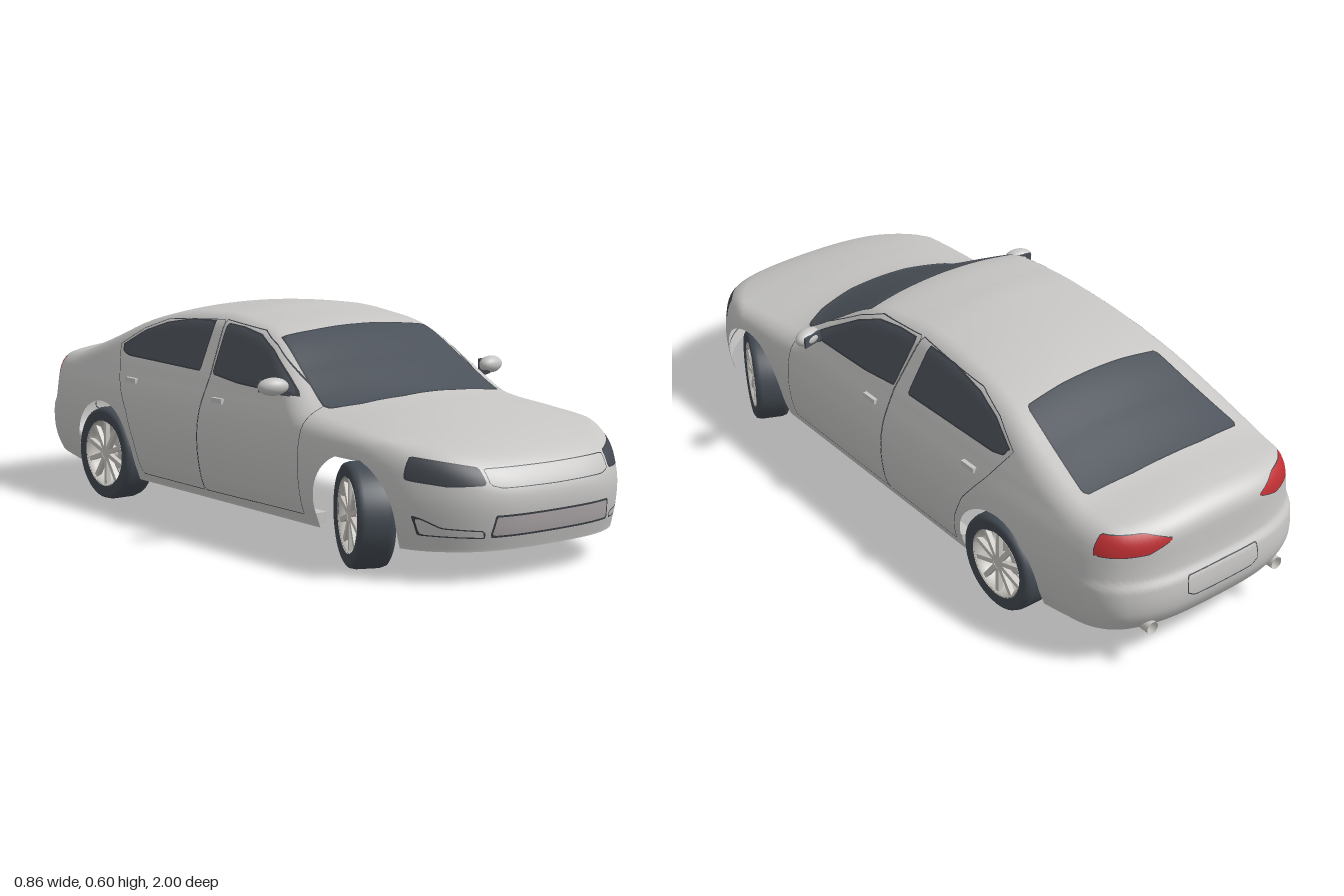
import * as THREE from 'three';

const material = (name, color) => new THREE.MeshStandardMaterial({ name, color, side: THREE.DoubleSide });
const paint = material('body paint', 0xc6c5c4);
const glass = material('tinted glass', 0x4b5159);
const lamp = material('dark lamp', 0x43484f);
const red = material('tail lamp red', 0xc03034);
const trim = material('dark trim', 0x3c4046);
const mesh = material('intake grey', 0xb0a9ac);
const rubber = material('tyre rubber', 0x434a52);
const alloy = material('wheel alloy', 0xc9c6c0);

// Smooth curve through [t, value] points, constant beyond the ends
const curve = (p) => {
  const slope = (i) => {
    const a = p[Math.max(i - 1, 0)], b = p[Math.min(i + 1, p.length - 1)];
    return (b[1] - a[1]) / (b[0] - a[0]);
  };
  const m = p.map((_, i) => slope(i));
  return (t) => {
    if (t <= p[0][0]) return p[0][1];
    if (t >= p[p.length - 1][0]) return p[p.length - 1][1];
    let i = 0;
    while (t > p[i + 1][0]) i++;
    const h = p[i + 1][0] - p[i][0], s = (t - p[i][0]) / h, s2 = s * s, s3 = s2 * s;
    return p[i][1] * (2 * s3 - 3 * s2 + 1) + p[i + 1][1] * (3 * s2 - 2 * s3)
      + h * (m[i] * (s3 - 2 * s2 + s) + m[i + 1] * (s3 - s2));
  };
};

// Signed distance to a 2D outline, negative inside
const outline = (pts) => (a, b) => {
  let d = Infinity, inside = false;
  pts.forEach(([ax, ay], i) => {
    const [bx, by] = pts[(i + 1) % pts.length];
    const ex = bx - ax, ey = by - ay;
    const t = Math.min(1, Math.max(0, ((a - ax) * ex + (b - ay) * ey) / (ex * ex + ey * ey)));
    d = Math.min(d, Math.hypot(a - ax - t * ex, b - ay - t * ey));
    if (ay > b !== by > b && a < ax + ((b - ay) * ex) / ey) inside = !inside;
  });
  return inside ? -d : d;
};

// Body form: side, top, nose and tail limits blended with rounded edges
const FLOOR = 0.08;
const halfWidth = curve([[0.08, 0.352], [0.15, 0.376], [0.25, 0.387], [0.33, 0.376], [0.4, 0.347], [0.43, 0.333], [0.57, 0.264], [0.62, 0.238]]);
const topLine = curve([[-1, 0.4], [-0.94, 0.415], [-0.877, 0.429], [-0.77, 0.447], [-0.61, 0.5], [-0.45, 0.558], [-0.29, 0.59],
  [-0.1, 0.602], [0, 0.597], [0.18, 0.568], [0.35, 0.488], [0.49, 0.418], [0.53, 0.406], [0.68, 0.382], [0.84, 0.345], [0.946, 0.3], [1.02, 0.25]]);
const noseLine = curve([[0.08, 0.98], [0.14, 0.995], [0.2, 1], [0.25, 0.99], [0.3, 0.97], [0.36, 0.92]]);
const tailLine = curve([[0.08, 0.94], [0.12, 0.975], [0.17, 0.998], [0.24, 0.995], [0.27, 0.978], [0.38, 0.966], [0.44, 0.95]]);
const screenBow = curve([[0.15, 0], [0.45, 0.7], [0.75, 0]]);
const crown = curve([[0.4, 0.35], [0.9, 0.2]]);
const roundMax = (a, b, k) => Math.max(a, b) + (Math.max(k - Math.abs(a - b), 0) ** 2) / (4 * k);

function form(x, y, z) {
  const x2 = x * x, x4 = x2 * x2;
  const side = Math.abs(x) - halfWidth(y) + 0.2 * Math.max(0, -z - 0.45) ** 2;
  const top = y - topLine(z + screenBow(z) * x2) + crown(z) * x2;
  const nose = z - noseLine(y) + 0.25 * x2 + 9 * x4;
  const tail = -z - tailLine(y) + 0.15 * x2 + 6 * x4;
  return roundMax(roundMax(side, top, 0.035), Math.max(nose, tail), 0.05);
}

// Skin point along a ray from the floor axis: x, y, z and normal
function skinPoint(z0, tilt, v) {
  const dir = [Math.cos(tilt) * Math.cos(v), Math.cos(tilt) * Math.sin(v), Math.sin(tilt)];
  const at = (t) => [dir[0] * t, FLOOR + dir[1] * t, z0 + dir[2] * t];
  let lo = 0, hi = 1;
  for (let i = 0; i < 26; i++) {
    const mid = (lo + hi) / 2;
    if (form(...at(mid)) < 0) lo = mid; else hi = mid;
  }
  const [x, y, z] = at(lo), e = 0.002;
  const n = new THREE.Vector3(form(x + e, y, z) - form(x - e, y, z), form(x, y + e, z) - form(x, y - e, z),
    form(x, y, z + e) - form(x, y, z - e)).normalize();
  return [x, y, z, n.x, n.y, n.z];
}

function buildSkin() {
  const rows = [], NV = 100, CAP = 70, MID = 110, S = 0.6;
  for (let i = -CAP; i <= MID + CAP; i++) {
    const z0 = -S + 2 * S * Math.min(1, Math.max(0, i / MID));
    const tilt = (Math.PI / 2) * (i < 0 ? i / CAP : i > MID ? (i - MID) / CAP : 0);
    rows.push(Array.from({ length: NV + 1 }, (_, j) => skinPoint(z0, tilt, (Math.PI * j) / NV)));
  }
  const tris = [];
  const add = (a, b, c) => {
    const u = [0, 1, 2].map((k) => b[k] - a[k]), w = [0, 1, 2].map((k) => c[k] - a[k]);
    const n = [u[1] * w[2] - u[2] * w[1], u[2] * w[0] - u[0] * w[2], u[0] * w[1] - u[1] * w[0]];
    if (Math.hypot(...n) < 1e-10) return;
    const facing = [0, 1, 2].reduce((s, k) => s + n[k] * (a[k + 3] + b[k + 3] + c[k + 3]), 0);
    tris.push(facing > 0 ? [a, b, c] : [a, c, b]);
  };
  for (let i = 0; i < rows.length - 1; i++) for (let j = 0; j < NV; j++) {
    add(rows[i][j], rows[i][j + 1], rows[i + 1][j + 1]);
    add(rows[i][j], rows[i + 1][j + 1], rows[i + 1][j]);
  }
  return tris;
}

// Cut triangles along f = 0 into inside and outside pieces
function split(tris, f) {
  const result = [[], []];
  for (const tri of tris) {
    const d = tri.map((p) => f(Math.abs(p[0]), p[1], p[2]));
    [1, -1].forEach((s, k) => {
      if (d.every((v) => s * v >= 0) && (k === 0 || d.some((v) => v !== 0))) return;
      const poly = [];
      tri.forEach((p, i) => {
        const j = (i + 1) % 3;
        if (s * d[i] <= 0) poly.push(p);
        if (d[i] * d[j] < 0) poly.push(p.map((v, c) => v + (tri[j][c] - v) * (d[i] / (d[i] - d[j]))));
      });
      for (let i = 1; i < poly.length - 1; i++) result[k].push([poly[0], poly[i], poly[i + 1]]);
    });
  }
  return result;
}

function part(parent, name, geometry, mat, x = 0, y = 0, z = 0) {
  const m = new THREE.Mesh(geometry, mat);
  m.name = name;
  m.position.set(x, y, z);
  parent.add(m);
  return m;
}

function panel(parent, name, tris, mat) {
  const g = new THREE.BufferGeometry(), verts = tris.flat();
  g.setAttribute('position', new THREE.Float32BufferAttribute(verts.flatMap((p) => p.slice(0, 3)), 3));
  g.setAttribute('normal', new THREE.Float32BufferAttribute(verts.flatMap((p) => p.slice(3)), 3));
  part(parent, name, g, mat);
}

function buildBody(car) {
  let skin = buildSkin();
  // inset: a filled area with an edge strip; no fill keeps body paint, no edge paints it all
  const inset = (name, f, fill, edge = 0) => {
    const [inside, rest] = split(skin, f);
    const [core, rim] = edge ? split(inside, (...p) => f(...p) + edge) : [inside, []];
    if (edge) panel(car, name + 'Edge', rim, trim);
    if (fill) panel(car, name, core, fill);
    skin = fill ? rest : rest.concat(core);
  };
  const fromSide = (pts) => { const o = outline(pts); return (x, y, z) => Math.max(o(z, y), 0.2 - x); };
  const fromTop = (pts) => { const o = outline(pts); return (x, y, z) => Math.max(o(x, z), 0.38 - y); };
  const fromFront = (pts, limit = 0.6) => { const o = outline(pts); return (x, y, z) => Math.max(o(x, y), limit - z); };
  const fromBack = (pts) => { const o = outline(pts); return (x, y, z) => Math.max(o(x, y), z + 0.6); };

  // Wheel arches and the rising rear bumper edge are cut away
  for (const cz of [0.64, -0.535])
    skin = split(skin, (x, y, z) => Math.max((y < 0.138 ? Math.abs(z - cz) : Math.hypot(z - cz, y - 0.138)) - 0.157, 0.2 - x))[1];
  skin = split(skin, (x, y, z) => Math.max(z + 0.69, y - 0.085 + 0.12 * (z + 0.69)))[1];

  // Glass
  inset('windscreen', fromTop([[-0.1, 0.515], [0.1, 0.513], [0.22, 0.488], [0.295, 0.45], [0.302, 0.43], [0.255, 0.18], [0.15, 0.19], [-0.1, 0.195]]), glass, 0.005);
  inset('rearWindow', fromTop([[-0.1, -0.77], [0.12, -0.768], [0.255, -0.755], [0.265, -0.74], [0.225, -0.465], [0.1, -0.457], [-0.1, -0.455]]), glass, 0.004);
  inset('frontSideWindows', fromSide([[0.37, 0.407], [0.3, 0.452], [0.2, 0.512], [0.12, 0.545], [0.03, 0.558], [-0.05, 0.562], [-0.03, 0.425], [0.1, 0.413]]), glass, 0.004);
  inset('rearSideWindows', fromSide([[-0.09, 0.427], [-0.105, 0.563], [-0.22, 0.56], [-0.34, 0.54], [-0.43, 0.51], [-0.515, 0.462], [-0.5, 0.441], [-0.46, 0.433]]), glass, 0.004);

  // Lamps
  inset('headlamps', fromFront([[0.207, 0.246], [0.29, 0.243], [0.34, 0.252], [0.42, 0.275], [0.42, 0.305], [0.33, 0.312], [0.212, 0.288]], 0.815), lamp, 0.004);
  inset('tailLamps', (x, y, z) => Math.max(Math.abs(y - 0.365) - 0.028 * Math.min(1, (x - 0.14) / 0.08), 0.14 - x, z + 0.86), red, 0.002);

  // Front bumper openings and the bonnet grille panel
  inset('lowerIntake', fromFront([[-0.1, 0.115], [0.201, 0.115], [0.191, 0.172], [-0.1, 0.172]]), mesh, 0.005);
  inset('bumperPocket', fromFront([[0.212, 0.114], [0.335, 0.12], [0.347, 0.17], [0.335, 0.165], [0.3, 0.142], [0.212, 0.134]]), null, 0.003);
  inset('grillePanel', fromFront([[-0.1, 0.234], [0.17, 0.237], [0.2, 0.246], [0.203, 0.285], [-0.1, 0.283]]), null, 0.002);
  inset('plateRecess', fromBack([[-0.1, 0.185], [0.1, 0.185], [0.125, 0.2], [0.12, 0.25], [-0.1, 0.252]]), null, 0.003);

  // Door shut lines
  inset('frontDoorSeam', fromSide([[0.43, 0.108], [0.43, 0.395], [0.38, 0.42], [0.2, 0.524], [0.12, 0.556], [-0.065, 0.57], [-0.035, 0.42], [-0.03, 0.103]]), null, 0.002);
  inset('rearDoorSeam', fromSide([[-0.031, 0.103], [-0.036, 0.42], [-0.066, 0.57], [-0.34, 0.55], [-0.44, 0.515], [-0.53, 0.462], [-0.47, 0.37], [-0.4, 0.28], [-0.365, 0.2], [-0.345, 0.103]]), null, 0.002);
  panel(car, 'bodyShell', skin, paint);
}

// Wheel with its outer face towards +x
function makeWheel(name) {
  const wheel = new THREE.Group();
  wheel.name = name;
  const profile = [[0.096, -0.044], [0.124, -0.05], [0.133, -0.044], [0.137, -0.03], [0.137, 0.03], [0.133, 0.044], [0.124, 0.05], [0.096, 0.044]];
  const lathe = (pts) => new THREE.LatheGeometry(pts.map((p) => new THREE.Vector2(...p)), 48).rotateZ(-Math.PI / 2);
  const disc = (r, w) => new THREE.CylinderGeometry(r, r, w, 32).rotateZ(-Math.PI / 2);
  part(wheel, 'tyre', lathe(profile), rubber);
  part(wheel, 'rimBarrel', lathe([[0.098, -0.044], [0.086, -0.03], [0.086, 0.03], [0.098, 0.046]]), alloy);
  part(wheel, 'hub', disc(0.022, 0.03), alloy, 0.025);
  part(wheel, 'brakeDisc', disc(0.052, 0.008), alloy, -0.01);
  for (let i = 0; i < 10; i++) {
    const spoke = new THREE.BoxGeometry(0.014, 0.076, 0.013).translate(0, 0.054, 0);
    part(wheel, 'spoke', spoke, alloy, 0.034).rotation.x = (i * Math.PI) / 5;
  }
  return wheel;
}

export function createModel() {
  const car = new THREE.Group();
  car.name = 'saloonCar';
  buildBody(car);
  for (const [side, s] of [['left', 1], ['right', -1]]) {
    // Wheels, the front pair steered
    for (const [end, z, steer] of [['Front', 0.64, -0.42], ['Rear', -0.535, 0]]) {
      const wheel = makeWheel(side + end + 'Wheel');
      wheel.position.set(s * 0.333, 0.138, z);
      wheel.rotation.y = steer + (s < 0 ? Math.PI : 0);
      car.add(wheel);
    }
    // Door mirror
    const housing = part(car, side + 'Mirror', new THREE.SphereGeometry(1, 24, 16), paint, s * 0.383, 0.433, 0.32);
    housing.scale.set(0.043, 0.024, 0.026);
    housing.rotation.y = s * 0.25;
    part(car, side + 'MirrorGlass', new THREE.BoxGeometry(0.062, 0.032, 0.006), glass, s * 0.38, 0.433, 0.3).rotation.y = s * 0.25;
    part(car, side + 'MirrorArm', new THREE.BoxGeometry(0.04, 0.012, 0.025), trim, s * 0.345, 0.412, 0.325).rotation.z = s * 0.2;
    // Handles, sill and exhaust
    for (const [z, y, x] of [[0.04, 0.362, 0.365], [-0.4, 0.37, 0.362]])
      part(car, side + 'DoorHandle', new THREE.BoxGeometry(0.014, 0.014, 0.052), paint, s * x, y, z);
    part(car, side + 'Sill', new THREE.BoxGeometry(0.035, 0.03, 0.82), paint, s * 0.334, 0.1, 0.055);
    part(car, side + 'Exhaust', new THREE.CylinderGeometry(0.018, 0.018, 0.08, 20, 1, true).rotateX(Math.PI / 2), alloy, s * 0.22, 0.122, -0.935);
  }
  return car;
}
